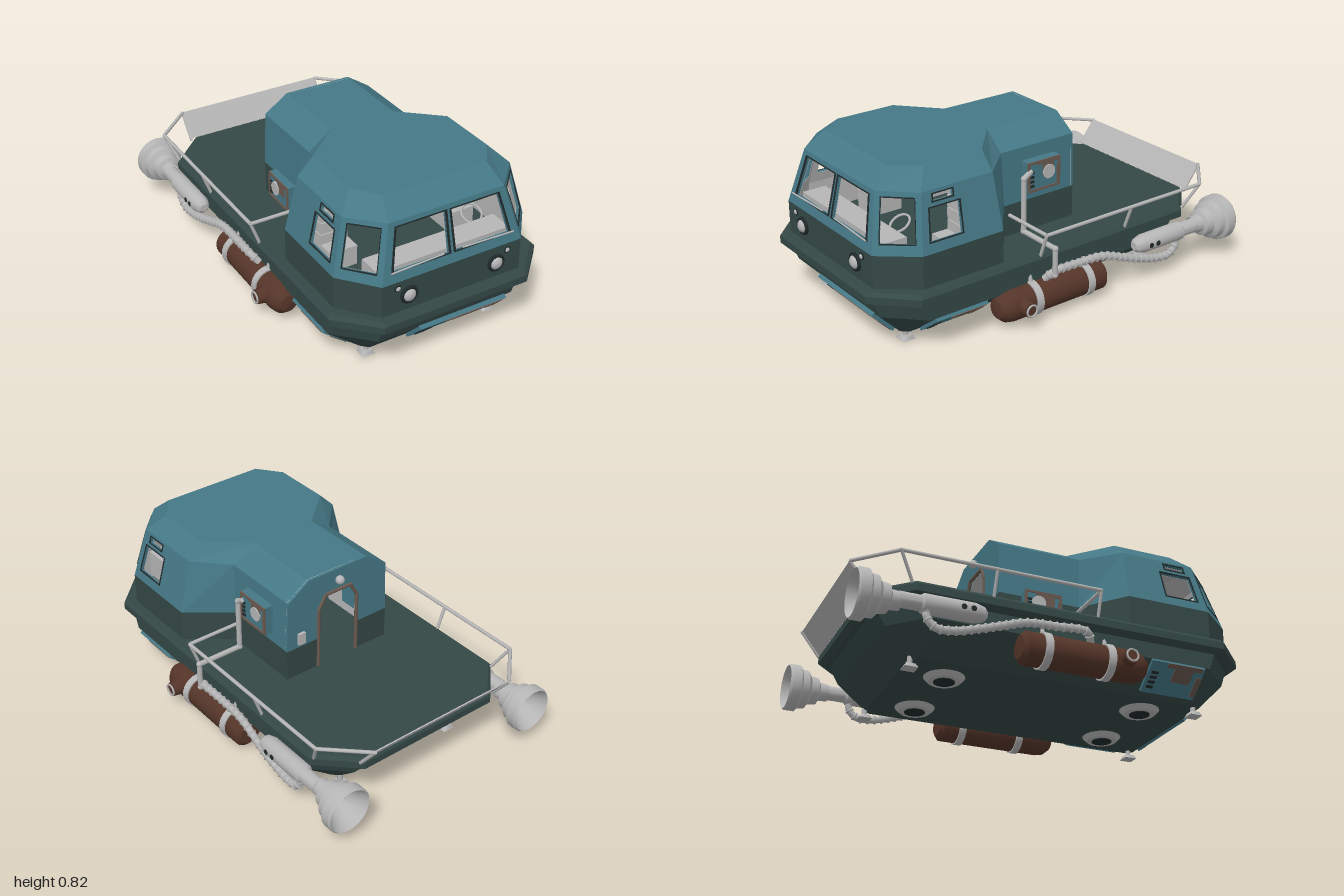
import * as THREE from 'three';
import { toCreasedNormals } from 'three/addons/utils/BufferGeometryUtils.js';

const V = (x, y, z) => new THREE.Vector3(x, y, z);
const mat = (name, color, side = THREE.FrontSide) => new THREE.MeshStandardMaterial({ name, color, side });
const teal = mat('teal paint', 0x457886);
const dark = mat('dark green paint', 0x344846);
const grey = mat('light grey metal', 0xb6b6b6, THREE.DoubleSide);
const brown = mat('brown tank paint', 0x553529);
const camo = mat('camouflage brown', 0x6b5a50);
const black = mat('black rubber', 0x20292a);

function add(parent, name, geo, material, x = 0, y = 0, z = 0) {
  const m = new THREE.Mesh(geo, material);
  m.name = name;
  m.position.set(x, y, z);
  parent.add(m);
  return m;
}

// straight round bar between two points
function rod(parent, name, a, b, r = 0.008, material = grey) {
  const m = add(parent, name, new THREE.CylinderGeometry(r, r, a.distanceTo(b), 8), material);
  m.position.lerpVectors(a, b, 0.5);
  m.quaternion.setFromUnitVectors(V(0, 1, 0), b.clone().sub(a).normalize());
  return m;
}

function rect(T, [u0, v0, u1, v1]) {
  const s = new T();
  s.moveTo(u0, v0); s.lineTo(u1, v0); s.lineTo(u1, v1); s.lineTo(u0, v1); s.closePath();
  return s;
}

// plate laid over a quad (corners counter-clockwise from outside), with window holes in 0..1 coordinates
function plate(q, { t = 0.015, lift = 0, area = [0, 0, 1, 1], holes = [] } = {}) {
  const shape = rect(THREE.Shape, area);
  holes.forEach(h => shape.holes.push(rect(THREE.Path, h)));
  const geo = new THREE.ExtrudeGeometry(shape, { depth: 1, bevelEnabled: false });
  const n = q[2].clone().sub(q[0]).cross(q[3].clone().sub(q[1])).normalize();
  const p = geo.attributes.position;
  for (let i = 0; i < p.count; i++) {
    const u = p.getX(i), v = p.getY(i), w = p.getZ(i);
    const lo = q[0].clone().lerp(q[1], u), hi = q[3].clone().lerp(q[2], u);
    lo.lerp(hi, v).addScaledVector(n, lift + (w - 1) * t);
    p.setXYZ(i, lo.x, lo.y, lo.z);
  }
  geo.computeVertexNormals();
  return geo;
}
const mirrorQuad = q => [q[1], q[0], q[3], q[2]].map(p => V(-p.x, p.y, p.z));

// flat-shaded skin through closed rings, capped at both ends
function loft(rings) {
  const pos = [], n = rings[0].length;
  const tri = (...ps) => ps.forEach(p => pos.push(p.x, p.y, p.z));
  for (let r = 0; r + 1 < rings.length; r++) for (let i = 0; i < n; i++) {
    const j = (i + 1) % n, lo = rings[r], hi = rings[r + 1];
    tri(lo[i], lo[j], hi[j]); tri(lo[i], hi[j], hi[i]);
  }
  const b = rings[0], t = rings[rings.length - 1];
  for (let i = 1; i + 1 < n; i++) { tri(b[0], b[i + 1], b[i]); tri(t[0], t[i], t[i + 1]); }
  const g = new THREE.BufferGeometry();
  g.setAttribute('position', new THREE.Float32BufferAttribute(pos, 3));
  g.computeVertexNormals();
  return g;
}
const octagon = (y, hx, zf, zb, c) => [[-hx, zb + c], [-hx, zf - c], [c - hx, zf], [hx - c, zf],
  [hx, zf - c], [hx, zb + c], [hx - c, zb], [c - hx, zb]].map(([x, z]) => V(x, y, z));

// turned part lying along z; profile is [radius, z] with z rising
const turned = (profile, seg = 24) => toCreasedNormals(
  new THREE.LatheGeometry(profile.map(p => new THREE.Vector2(...p)), seg).rotateX(Math.PI / 2), 0.5);

// equipment hatch: raised teal box with camouflage patches and vent slats
function hatch(parent, name, q, lift) {
  const g = new THREE.Group();
  g.name = name;
  parent.add(g);
  add(g, 'hatch body', plate(q, { t: lift + 0.02, lift }), teal);
  [[0.3, 0.86, 0.95, 1], [0.45, 0.45, 0.8, 0.86], [0.9, 0.1, 1, 0.7]].forEach(area =>
    add(g, 'camouflage patch', plate(q, { t: 0.004, lift: lift + 0.004, area }), camo));
  for (let i = 0; i < 4; i++) add(g, 'vent slat', plate(q,
    { t: 0.005, lift: lift + 0.005, area: [0.06, 0.16 + i * 0.15, 0.18, 0.24 + i * 0.15] }), black);
  return g;
}

function buildHull(root) {
  add(root, 'hull', loft([octagon(0.045, 0.36, 0.8, -0.66, 0.03), octagon(0.17, 0.52, 0.92, -0.79, 0.16),
    octagon(0.255, 0.52, 0.95, -0.84, 0.16)]), dark);
  add(root, 'rubbing rail and deck', loft([octagon(0.25, 0.525, 0.97, -0.86, 0.165), octagon(0.27, 0.555, 1, -0.89, 0.175),
    octagon(0.305, 0.555, 1, -0.89, 0.175), octagon(0.322, 0.54, 0.985, -0.88, 0.17)]), dark);
  hatch(root, 'front hatch', [V(-0.15, 0.065, 0.818), V(0.32, 0.065, 0.818), V(0.32, 0.175, 0.924), V(-0.15, 0.175, 0.924)], 0.018);
  const side = [V(0.386, 0.065, 0.73), V(0.386, 0.065, 0.45), V(0.52, 0.17, 0.45), V(0.52, 0.17, 0.73)];
  hatch(root, 'right hatch', side, 0.015);
  hatch(root, 'left hatch', mirrorQuad(side), 0.015);
  // lift fans and landing feet
  for (const s of [1, -1]) {
    for (const z of [0.55, -0.45]) {
      add(root, 'fan housing', new THREE.CylinderGeometry(0.1, 0.075, 0.025, 24), grey, s * 0.2, 0.036, z);
      add(root, 'fan intake', new THREE.CylinderGeometry(0.05, 0.05, 0.004, 20), black, s * 0.2, 0.022, z);
    }
    for (const z of [0.77, -0.66]) {
      add(root, 'foot pad', new THREE.CylinderGeometry(0.03, 0.045, 0.02, 4, 1, false, Math.PI / 4), grey, s * 0.33, 0.01, z);
      rod(root, 'foot strut', V(s * 0.33, 0.02, z), V(s * 0.33, 0.11, z), 0.013);
    }
  }
}

function buildCabin(root) {
  const cab = new THREE.Group();
  cab.name = 'cabin';
  root.add(cab);
  const outline = (y, half) => [...half.map(([x, z]) => V(-x, y, z)).reverse(), ...half.map(([x, z]) => V(x, y, z))];
  const base = [[0.365, 0.95], [0.505, 0.78], [0.505, 0.35], [0.3, 0.19], [0.3, -0.22]];
  const rings = [outline(0.315, base), outline(0.48, base),
    outline(0.745, [[0.3, 0.885], [0.44, 0.74], [0.44, 0.36], [0.29, 0.2], [0.29, -0.22]]),
    outline(0.825, [[0.27, 0.79], [0.36, 0.67], [0.36, 0.36], [0.17, 0.19], [0.17, -0.22]])];
  // window openings by wall, running from rear left round to rear right
  const corner = [0.14, 0.19, 0.86, 0.9];
  const openings = { 2: [[0.5, 0.19, 0.9, 0.72], [0.58, 0.82, 0.85, 0.93]], 3: [corner],
    4: [[0.07, 0.19, 0.475, 0.9], [0.525, 0.19, 0.93, 0.9]], 5: [corner],
    6: [[0.1, 0.19, 0.5, 0.72], [0.15, 0.82, 0.42, 0.93]] };
  for (let r = 0; r < 3; r++) for (let i = 0; i < 9; i++) {
    const q = [rings[r][i], rings[r][i + 1], rings[r + 1][i + 1], rings[r + 1][i]];
    const holes = r === 1 ? openings[i] || [] : [];
    add(cab, r ? 'upper wall' : 'lower wall', plate(q, { holes }), r ? teal : dark);
    add(cab, 'inner lining', plate(q, { holes, t: 0.002, lift: -0.016 }), grey);
    // dark window seals
    holes.forEach(([a, b, c, d]) => add(cab, 'window seal', plate(q, { t: 0.006, lift: 0.003,
      area: [a - 0.015, b - 0.02, c + 0.015, d + 0.02], holes: [[a, b, c, d]] }), black));
  }
  const poly = pts => new THREE.Shape(pts.map(p => new THREE.Vector2(...p)));
  const roof = new THREE.ShapeGeometry(poly(rings[3].map(p => [p.x, -p.z]))).rotateX(-Math.PI / 2);
  add(cab, 'roof', roof, teal, 0, 0.825, 0);
  add(cab, 'ceiling', roof, grey, 0, 0.818, 0);
  // rear wall with open doorway
  const solid = (pts, depth) => new THREE.ExtrudeGeometry(poly(pts), { depth, bevelEnabled: false });
  const door = [[-0.115, 0.48], [-0.115, 0.64], [-0.075, 0.71], [0.075, 0.71], [0.115, 0.64], [0.115, 0.48]];
  const gable = [[-0.3, 0.48], ...door, [0.3, 0.48], [0.29, 0.745], [0.17, 0.825], [-0.17, 0.825], [-0.29, 0.745]];
  add(cab, 'rear wall', solid(gable, 0.012), teal, 0, 0, -0.225);
  add(cab, 'rear lining', solid(gable, 0.002), grey, 0, 0, -0.212);
  for (const s of [1, -1])
    add(cab, 'rear lower wall', new THREE.BoxGeometry(0.185, 0.165, 0.014), dark, s * 0.2075, 0.3975, -0.218);
  const path = [[-0.115, 0.32], ...door.slice(1, 5), [0.115, 0.32]].map(([x, y]) => V(x, y, -0.225));
  path.slice(1).forEach((p, i) => rod(cab, 'door frame', path[i], p, 0.009, camo));
  add(cab, 'rear lamp', new THREE.SphereGeometry(0.022, 16, 10), grey, 0, 0.77, -0.24);
  add(cab, 'door control box', new THREE.BoxGeometry(0.04, 0.06, 0.015), grey, 0.22, 0.53, -0.232);
  // front lamps and wipers
  for (const s of [1, -1]) {
    const lamp = (x, y, r) => {
      add(cab, 'lamp ring', new THREE.TorusGeometry(r, r * 0.25, 8, 24), black, s * x, y, 0.955);
      add(cab, 'lamp lens', new THREE.SphereGeometry(r * 0.9, 18, 10).scale(1, 1, 0.7), grey, s * x, y, 0.955);
    };
    lamp(0.23, 0.4, 0.036);
    lamp(0.288, 0.45, 0.014);
    rod(cab, 'wiper', V(s * 0.32, 0.535, 0.95), V(s * 0.05, 0.54, 0.945), 0.004);
    // seat made of stacked cushions
    for (let i = 0; i < 5; i++)
      add(cab, 'seat cushion', new THREE.BoxGeometry(i === 4 ? 0.09 : 0.14, 0.056, 0.07), grey, s * 0.32, 0.45 + i * 0.062, 0.44);
    add(cab, 'seat base', new THREE.BoxGeometry(0.14, 0.1, 0.16), grey, s * 0.32, 0.38, 0.48);
  }
  add(cab, 'dashboard', new THREE.BoxGeometry(0.7, 0.14, 0.12), grey, 0, 0.44, 0.82);
  const wheel = add(cab, 'steering wheel', new THREE.TorusGeometry(0.05, 0.006, 6, 20), grey, 0.25, 0.53, 0.73);
  wheel.rotation.x = -1;
  // equipment boxes on the side walls
  const box = (y0, y1) => [V(0.3, y0, 0.08), V(0.3, y0, -0.11), V(0.3, y1, -0.11), V(0.3, y1, 0.08)];
  for (const [name, q, s, y] of [['right wall box', box(0.53, 0.68), 1, 0.615], ['left wall box', mirrorQuad(box(0.37, 0.5)), -1, 0.44]]) {
    hatch(cab, name, q, 0.038);
    add(cab, 'wall box frame', plate(q, { t: 0.008, lift: 0.043, holes: [[0.07, 0.08, 0.93, 0.92]] }), camo);
    add(cab, 'wall box dial', new THREE.CylinderGeometry(0.035, 0.035, 0.012, 20).rotateZ(Math.PI / 2), grey, s * 0.342, y, -0.04);
  }
}

function buildRailing(root) {
  for (const s of [1, -1]) {
    const P = (x, y, z) => V(s * x, y, z), top = 0.433;
    const line = [P(0.31, top, 0.165), P(0.585, top, 0.165), P(0.585, top, -0.8), P(0.4, top, -0.975)];
    line.slice(1).forEach((p, i) => rod(root, 'top rail', line[i], p, 0.009));
    for (const [a, b] of [[P(0.54, 0.31, 0.165), line[1]], [P(0.54, 0.31, -0.35), P(0.585, top, -0.35)],
      [P(0.54, 0.31, -0.73), line[2]], [P(0.4, 0.31, -0.88), line[3]]]) rod(root, 'rail post', a, b);
  }
  add(root, 'tailgate', plate([V(0.4, 0.32, -0.885), V(-0.4, 0.32, -0.885), V(-0.4, 0.435, -0.975), V(0.4, 0.435, -0.975)], { t: 0.006 }), grey);
}

function buildPropulsion(root) {
  const tank = turned([[0, -0.225], [0.055, -0.22], [0.078, -0.2], [0.078, 0.33], [0.07, 0.37], [0.045, 0.4], [0, 0.412]]);
  const bell = turned([[0.108, -1], [0.115, -0.99], [0.115, -0.945], [0.098, -0.935], [0.094, -0.9], [0.072, -0.885],
    [0.066, -0.845], [0.046, -0.835], [0.042, -0.79]]);
  const cone = turned([[0.108, -1], [0.075, -0.94], [0.03, -0.87], [0, -0.865]]);
  const motor = turned([[0, -0.8], [0.036, -0.8], [0.036, -0.7], [0.046, -0.69], [0.046, -0.45], [0.035, -0.41], [0.02, -0.395], [0, -0.395]]);
  for (const s of [1, -1]) {
    const g = new THREE.Group();
    g.name = s > 0 ? 'right propulsion' : 'left propulsion';
    root.add(g);
    add(g, 'fuel tank', tank, brown, s * 0.52, 0.105, 0);
    for (const z of [0.205, -0.105]) {
      add(g, 'tank band', turned([[0.078, -0.018], [0.086, -0.018], [0.086, 0.018], [0.078, 0.018]]), grey, s * 0.52, 0.105, z);
      rod(g, 'tank bracket', V(s * 0.52, 0.18, z), V(s * 0.5, 0.24, z), 0.014);
    }
    add(g, 'tank valve', new THREE.CylinderGeometry(0.035, 0.045, 0.08, 20).rotateZ(-s * Math.PI / 2), brown, s * 0.59, 0.11, 0.285);
    add(g, 'valve handwheel', new THREE.TorusGeometry(0.028, 0.005, 6, 18).rotateY(Math.PI / 2), grey, s * 0.637, 0.11, 0.285);
    add(g, 'thruster bell', bell, grey, s * 0.555, 0.2, 0);
    add(g, 'thruster cone', cone, grey, s * 0.555, 0.2, 0);
    add(g, 'thruster motor', motor, grey, s * 0.565, 0.205, 0);
    for (const z of [-0.47, -0.515])
      add(g, 'motor port', new THREE.CylinderGeometry(0.013, 0.013, 0.01, 12).rotateZ(Math.PI / 2), black, s * 0.608, 0.205, z);
    // ribbed hose from tank to thruster
    const hose = new THREE.CatmullRomCurve3([[0.53, 0.18, 0.13], [0.56, 0.22, 0.1], [0.56, 0.22, -0.05], [0.56, 0.21, -0.2],
      [0.565, 0.17, -0.32], [0.57, 0.135, -0.42], [0.57, 0.1, -0.55], [0.57, 0.1, -0.63], [0.57, 0.14, -0.67], [0.565, 0.2, -0.67]]
      .map(([x, y, z]) => V(s * x, y, z)));
    add(g, 'hose', new THREE.TubeGeometry(hose, 60, 0.018, 10), grey);
    for (let i = 1; i < 26; i++) {
      const rib = add(g, 'hose rib', new THREE.TorusGeometry(0.017, 0.006, 6, 12), grey);
      rib.position.copy(hose.getPointAt(i / 26));
      rib.quaternion.setFromUnitVectors(V(0, 0, 1), hose.getTangentAt(i / 26));
    }
  }
  // feed pipe from the right wall box over the deck edge
  const pipe = [V(0.34, 0.64, 0.06), V(0.34, 0.61, 0.105), V(0.34, 0.345, 0.105), V(0.575, 0.345, 0.105), V(0.575, 0.21, 0.105)];
  pipe.slice(1).forEach((p, i) => {
    rod(root, 'feed pipe', pipe[i], p, 0.013);
    add(root, 'pipe elbow', new THREE.SphereGeometry(0.015, 12, 8), grey, p.x, p.y, p.z);
  });
}

export function createModel() {
  const root = new THREE.Group();
  root.name = 'amphibious craft';
  buildHull(root);
  buildCabin(root);
  buildRailing(root);
  buildPropulsion(root);
  return root;
}
